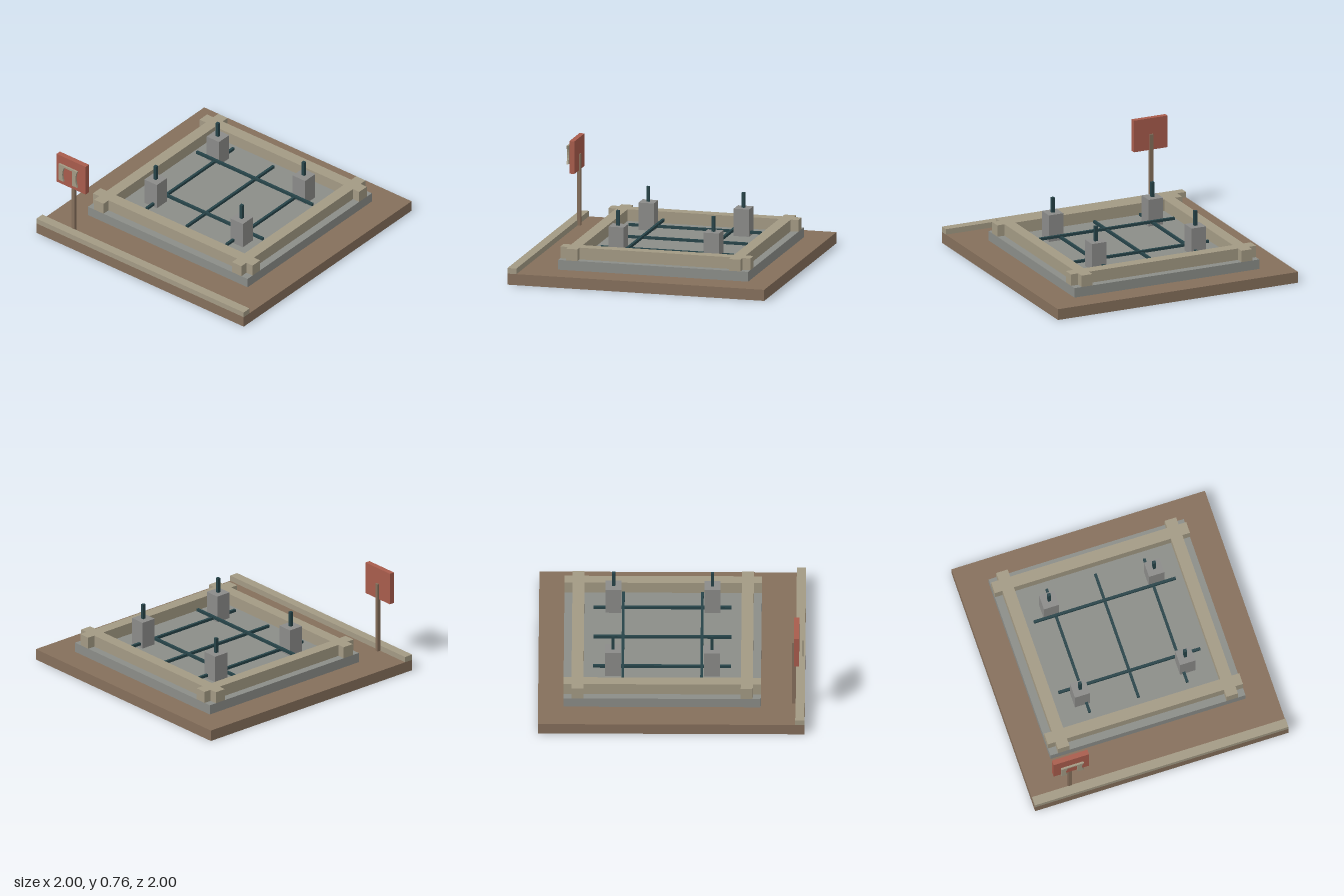
import * as THREE from 'three';

export function createModel() {
  const model = new THREE.Group();
  const mat = (name, color) => {
    const m = new THREE.MeshStandardMaterial({ color });
    m.name = name;
    return m;
  };
  const earth = mat('earth brown', 0x856f5b);
  const timber = mat('pale timber', 0xa39a84);
  const concrete = mat('concrete grey', 0x8b8d88);
  const blockGrey = mat('block grey', 0x8b8b89);
  const steel = mat('dark steel', 0x264348);
  const red = mat('sign red', 0xa85c4c);

  // Box given by its minimum and maximum on each axis
  const box = (name, material, x0, x1, y0, y1, z0, z1) => {
    const mesh = new THREE.Mesh(new THREE.BoxGeometry(x1 - x0, y1 - y0, z1 - z0), material);
    mesh.position.set((x0 + x1) / 2, (y0 + y1) / 2, (z0 + z1) / 2);
    mesh.name = name;
    model.add(mesh);
    return mesh;
  };

  // Ground, front curb and foundation slab
  box('ground', earth, -1, 1, 0, 0.085, -1, 1);
  box('frontCurb', timber, -1, 1, 0.085, 0.128, 0.93, 1);
  box('foundationSlab', concrete, -0.77, 0.77, 0.085, 0.16, -0.81, 0.67);

  // Crossed formwork beams with overhanging ends
  for (const z of [-0.705, 0.565]) box('crossBeam', timber, -0.77, 0.77, 0.16, 0.25, z - 0.045, z + 0.045);
  for (const x of [-0.665, 0.665]) box('sideBeam', timber, x - 0.045, x + 0.045, 0.16, 0.25, -0.81, 0.67);

  // Reinforcement grid
  for (const x of [-0.385, 0, 0.385]) box('lengthwiseBar', steel, x - 0.01, x + 0.01, 0.18, 0.2, -0.59, 0.445);
  for (const z of [-0.367, 0.225]) box('crosswiseBar', steel, -0.56, 0.56, 0.19, 0.21, z - 0.01, z + 0.01);

  // Column footings with starter rods
  for (const x of [-0.415, 0.415]) {
    for (const z of [-0.44, 0.302]) {
      box('columnBlock', blockGrey, x - 0.06, x + 0.06, 0.16, 0.37, z - 0.06, z + 0.06);
      box('starterRod', steel, x - 0.012, x + 0.012, 0.37, 0.487, z - 0.012, z + 0.012);
    }
  }

  // Sign post and board
  box('signPost', earth, -0.716, -0.688, 0.085, 0.635, 0.905, 0.933);
  box('signBoard', red, -0.84, -0.56, 0.51, 0.76, 0.918, 0.958);

  // Arch pictogram standing just ahead of the board
  const arch = new THREE.Shape();
  arch.moveTo(-0.79, 0.567);
  arch.lineTo(-0.743, 0.567);
  arch.quadraticCurveTo(-0.77, 0.63, -0.738, 0.695);
  arch.lineTo(-0.662, 0.695);
  arch.lineTo(-0.662, 0.567);
  arch.lineTo(-0.612, 0.567);
  arch.quadraticCurveTo(-0.645, 0.635, -0.612, 0.71);
  arch.lineTo(-0.79, 0.71);
  arch.closePath();
  const pictogram = new THREE.Mesh(
    new THREE.ExtrudeGeometry(arch, { depth: 0.015, bevelEnabled: false, curveSegments: 6 }), timber);
  pictogram.position.z = 0.98;
  pictogram.name = 'signPictogram';
  model.add(pictogram);

  return model;
}
